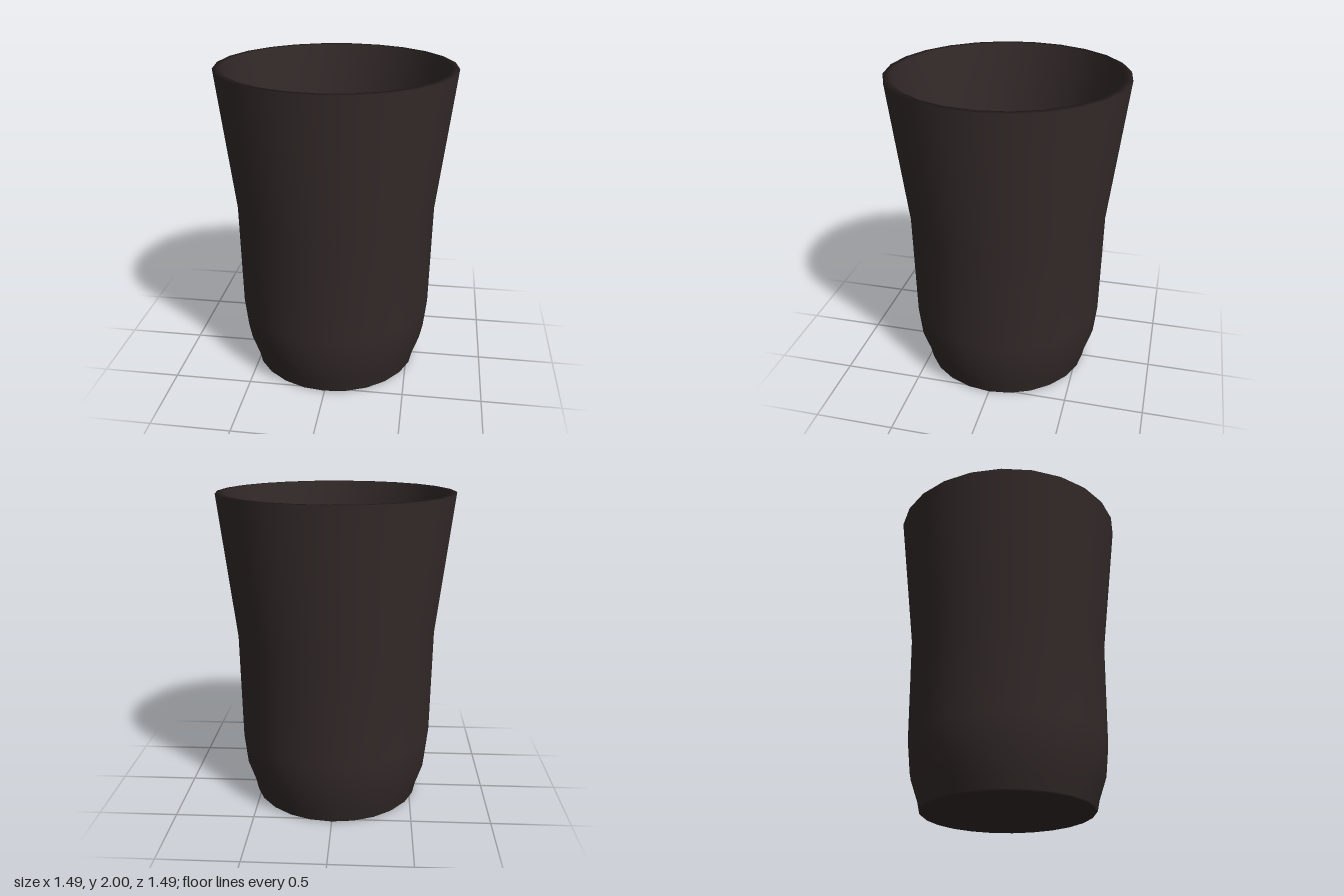
import * as THREE from 'three';

export function createModel() {
  const group = new THREE.Group();
  const material = new THREE.MeshStandardMaterial({ color: 0x332a29 });

  // Closed wall section: base centre, up the outside, over the rim, down the inside
  const profile = [
    [0, 0], [0.53, 0], [0.54, 0.01], [0.555, 0.08], [0.603, 0.22], [0.625, 0.42],
    [0.637, 1.1], [0.745, 2],                           // outside
    [0.7, 2], [0.58, 1.1], [0.572, 0.42], [0.555, 0.24],
    [0.5, 0.1], [0, 0.09],                              // inside and floor
  ].map(([r, y]) => new THREE.Vector2(r, y));

  const cup = new THREE.Mesh(new THREE.LatheGeometry(profile, 24), material);
  cup.name = 'cup';
  group.add(cup);
  return group;
}
